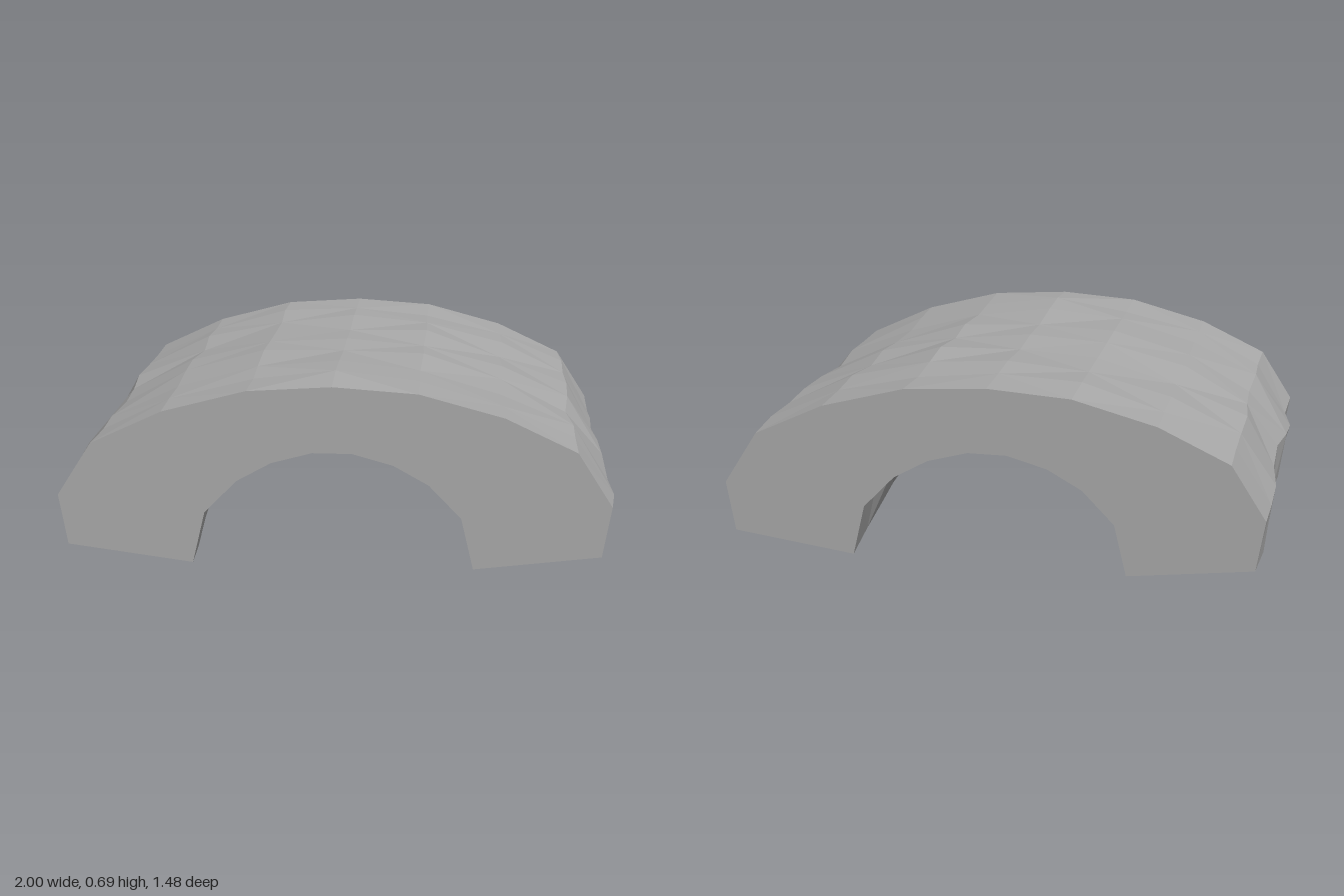
import * as THREE from 'three';

// Right half of the end section: outer side from foot to crown, inner side from foot to crown
const OUTER = [[0.95, 0.07], [0.98, 0.255], [0.855, 0.45], [0.6, 0.57], [0.3, 0.65]];
const INNER = [[0.5, 0.01], [0.455, 0.2], [0.34, 0.32], [0.215, 0.39], [0.07, 0.43]];
const mirror = (pts) => pts.map(([x, y]) => [-x, y]);

// Stations along the tunnel, and how each one lifts the feet, flanks and crown
const Z = [0.74, 0.56, 0.39, 0.18, 0, -0.19, -0.38, -0.55, -0.74];
const INNER_FOOT = [0.012, 0, 0.06, 0.09, 0.105, 0.085, 0.065, 0.04, 0.012];
const OUTER_FOOT = [0.07, 0.065, 0.1, 0.095, 0.11, 0.105, 0.09, 0.07, 0.07];
const FLANK = [0.255, 0.245, 0.245, 0.275, 0.28, 0.265, 0.255, 0.24, 0.255];
const CROWN = [0.67, 0.685, 0.68, 0.665, 0.67, 0.66, 0.675, 0.67, 0.67];
const RIGHT_X = [0.98, 1, 0.99, 0.985, 0.98, 0.97, 0.98, 0.98, 0.98];
const LEFT_X = [0.98, 0.97, 1, 0.995, 0.97, 0.97, 0.99, 0.985, 0.98];

function seeded(seed) {
  return () => {
    seed = (seed * 16807) % 2147483647;
    return seed / 2147483647;
  };
}

export function createModel() {
  const group = new THREE.Group();
  group.name = 'rockArch';
  const stone = new THREE.MeshStandardMaterial({ color: 0xa9a9a9, flatShading: true });
  stone.name = 'grey stone';
  const rand = seeded(4217);

  // Closed section: left foot, over the top, right foot, back through the opening
  const section = [
    ...mirror(OUTER), [0, 0.67], ...OUTER.slice().reverse(),
    ...INNER, ...mirror(INNER).reverse(),
  ];
  const n = section.length;
  const last = Z.length - 1;

  // Roughen the inner stations, keep both ends clean
  const rings = Z.map((z, i) => section.map(([x, y], j) => {
    const end = i === 0 || i === last;
    const amount = end ? 0 : 1;
    const k = amount * (rand() * 0.035 - (j < 11 ? 0.02 : 0));
    let px = x * (1 + k);
    let py = y * (1 + k);
    const pz = z + amount * (rand() - 0.5) * 0.03;
    if (j === 0 || j === 10) {
      px = Math.sign(x) * (0.95 + amount * rand() * 0.02);
      py = OUTER_FOOT[i];
    }
    if (j === 1) [px, py] = [-LEFT_X[i], FLANK[i]];
    if (j === 9) [px, py] = [RIGHT_X[i], FLANK[i]];
    if (j === 5) py = CROWN[i];
    if (j === 11 || j === 20) py = INNER_FOOT[i];
    // Bulge in the right haunch of the opening
    if (j === 13 && i > 1 && i < 6) [px, py] = [0.335, 0.297];
    return [px, py, pz];
  }));

  const positions = [];
  const tri = (a, b, c) => positions.push(...a, ...b, ...c);

  // Rocky skin between stations, with diagonals changing direction
  for (let i = 0; i < last; i++) {
    for (let j = 0; j < n; j++) {
      const a = rings[i][j], b = rings[i][(j + 1) % n];
      const c = rings[i + 1][j], d = rings[i + 1][(j + 1) % n];
      if ((i + j) % 2) { tri(a, b, c); tri(b, d, c); }
      else { tri(a, b, d); tri(a, d, c); }
    }
  }

  // Flat end faces, strip by strip from outer to inner edge
  for (const [ring, front] of [[rings[0], true], [rings[last], false]]) {
    const face = (a, b, c) => (front ? tri(ring[a], ring[b], ring[c]) : tri(ring[a], ring[c], ring[b]));
    for (let j = 0; j < 9; j++) {
      face(j, 20 - j, 19 - j);
      face(j, 19 - j, j + 1);
    }
    face(9, 11, 10);
  }

  const geometry = new THREE.BufferGeometry();
  geometry.setAttribute('position', new THREE.Float32BufferAttribute(positions, 3));
  geometry.computeVertexNormals();
  const arch = new THREE.Mesh(geometry, stone);
  arch.name = 'archedRock';
  group.add(arch);
  return group;
}
